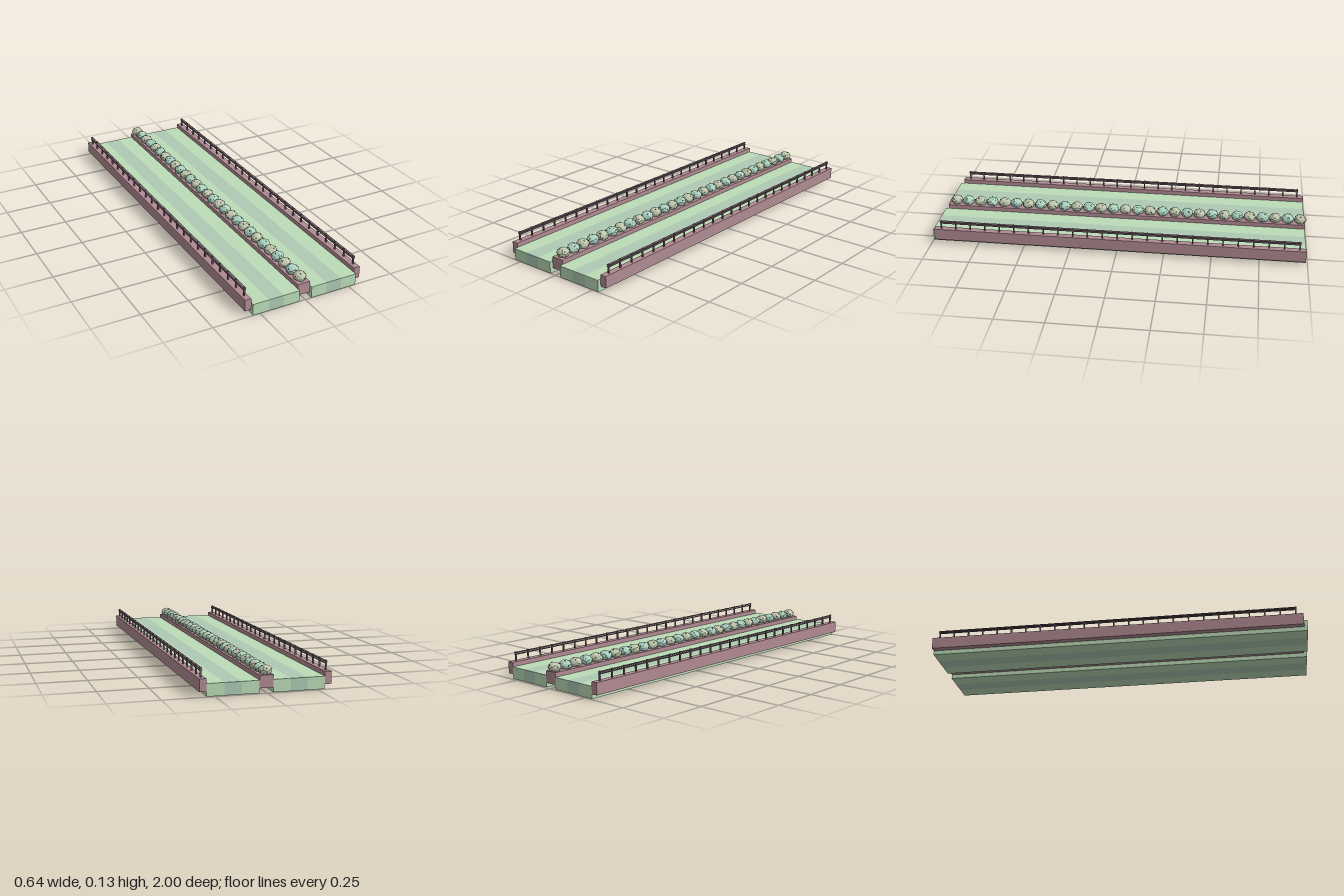
import * as THREE from 'three';

const mat = (color, flatShading = false) => new THREE.MeshStandardMaterial({ color, flatShading });
const pale = mat(0xbcdcb8), dark = mat(0xaecab4), stone = mat(0xb08b92), metal = mat(0x75606a);
const leafA = mat(0xacd2c0, true), leafB = mat(0xbfc8ae, true), berry = mat(0x4e5c57, true);

function add(parent, name, geometry, material, x = 0, y = 0, z = 0) {
  const mesh = new THREE.Mesh(geometry, material);
  mesh.name = name;
  mesh.position.set(x, y, z);
  parent.add(mesh);
  return mesh;
}

// box given by its limits on each axis
function block(parent, name, material, [x0, x1], [y0, y1], [z0, z1]) {
  return add(parent, name, new THREE.BoxGeometry(x1 - x0, y1 - y0, z1 - z0), material,
    (x0 + x1) / 2, (y0 + y1) / 2, (z0 + z1) / 2);
}

// low-poly bush: icosphere with uneven facets and a flat underside
function bushGeometry() {
  const geo = new THREE.IcosahedronGeometry(1, 1);
  const p = geo.attributes.position;
  for (let i = 0; i < p.count; i++) {
    const x = p.getX(i), y = p.getY(i), z = p.getZ(i);
    const k = 0.97 + 0.05 * Math.sin(5 * x + 3 * y + 4 * z);
    p.setXYZ(i, x * k * 0.034, Math.max(y * k, -0.65) * 0.028, z * k * 0.034);
  }
  geo.computeVertexNormals();
  return geo;
}

export function createModel() {
  const model = new THREE.Group();
  model.name = 'dividedRoad';

  for (const side of [-1, 1]) {
    const span = (a, b) => (side > 0 ? [a, b] : [-b, -a]);

    // carriageway with a darker middle lane
    const road = new THREE.Group();
    road.name = side > 0 ? 'leftRoad' : 'rightRoad';
    model.add(road);
    block(road, 'innerLane', pale, span(0.034, 0.12), [0, 0.061], [-0.99, 1]);
    block(road, 'middleLane', dark, span(0.12, 0.202), [0, 0.061], [-0.99, 1]);
    block(road, 'outerLane', pale, span(0.202, 0.288), [0, 0.061], [-0.99, 1]);

    // outer kerb
    block(model, side > 0 ? 'leftKerb' : 'rightKerb', stone, span(0.288, 0.322), [0.023, 0.084], [-0.99, 0.982]);

    // railing on the kerb
    const fence = new THREE.Group();
    fence.name = side > 0 ? 'leftRailing' : 'rightRailing';
    model.add(fence);
    const post = new THREE.BoxGeometry(0.007, 0.047, 0.007);
    const posts = 25;
    for (let i = 0; i < posts; i++)
      add(fence, 'post', post, metal, side * 0.306, 0.1075, -0.955 + (1.9 * i) / (posts - 1));
    for (const y of [0.117, 0.126])
      block(fence, 'rail', metal, span(0.299, 0.313), [y - 0.0015, y + 0.0015], [-0.96, 0.95]);
  }

  // planted central strip
  block(model, 'median', stone, [-0.034, 0.034], [0.023, 0.084], [-0.99, 0.982]);

  const leaves = bushGeometry();
  const dot = new THREE.IcosahedronGeometry(0.003, 0);
  const count = 29;
  for (let i = 0; i < count; i++) {
    const bush = new THREE.Group();
    bush.name = 'bush';
    bush.position.set(0, 0.101, -0.965 + (1.907 * i) / (count - 1));
    bush.rotation.y = i * 2.4;
    model.add(bush);
    add(bush, 'leaves', leaves, i % 2 ? leafA : leafB);
    // berries spread around the dome
    for (let j = 0; j < 7; j++) {
      const a = j * 2.4, h = 0.85 - j * 0.16, r = Math.sqrt(1 - h * h);
      add(bush, 'berry', dot, berry, Math.cos(a) * r * 0.032, h * 0.0265, Math.sin(a) * r * 0.032);
    }
  }
  return model;
}
